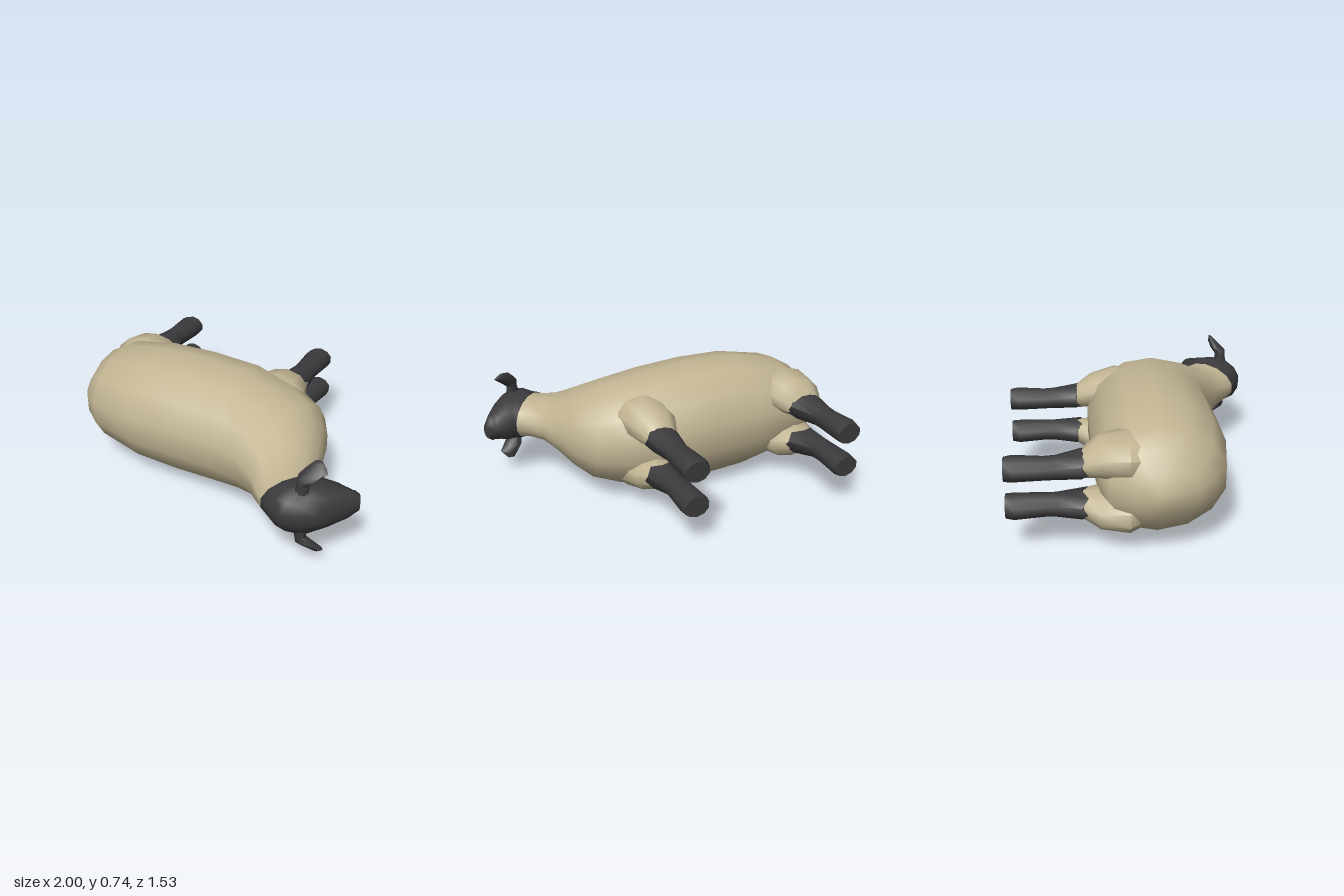
import * as THREE from 'three';
import { toCreasedNormals } from 'three/addons/utils/BufferGeometryUtils.js';

const MID = 0.372; // the animal lies on its side, so its mirror plane is y = MID
const wool = new THREE.MeshStandardMaterial({ color: 0xc2b594 });
const dark = new THREE.MeshStandardMaterial({ color: 0x3b3b3d });

// Skin a list of equal-length rings, closing both ends
function loft(name, rings, material) {
  const n = rings[0].length, points = rings.flat(), index = [];
  for (let i = 0; i < rings.length - 1; i++) {
    for (let j = 0; j < n; j++) {
      const a = i * n + j, b = i * n + (j + 1) % n;
      index.push(a, b, b + n, a, b + n, a + n);
    }
  }
  const centre = (ring) => ring.reduce((c, p) => c.add(p), new THREE.Vector3()).divideScalar(n);
  const first = points.length, last = first + 1, end = (rings.length - 1) * n;
  const all = [...points, centre(rings[0]), centre(rings[rings.length - 1])];
  for (let j = 0; j < n; j++) {
    const k = (j + 1) % n;
    index.push(first, k, j, last, end + j, end + k);
  }
  const geometry = new THREE.BufferGeometry().setFromPoints(all);
  geometry.setIndex(index);
  const mesh = new THREE.Mesh(toCreasedNormals(geometry, 0.95), material);
  mesh.name = name;
  return mesh;
}

const ring = (n, f) => Array.from({ length: n }, (_, j) => {
  const a = (j / n) * Math.PI * 2;
  return f(Math.cos(a), Math.sin(a), j);
});

// Slice of body or head: back point, belly point, half width, height of widest spot
const slice = ([xTop, zTop, xLow, zLow, w, k = 0.46]) => ring(14, (c, s) => {
  const t = s > 0 ? k + (1 - k) * s : k + k * s;
  return new THREE.Vector3(xLow + (xTop - xLow) * t, MID + w * c, zLow + (zTop - zLow) * t);
});

// Slice of a leg: height z, centre x, sideways offset, radii, jagged edge
const legSlice = (side) => ([z, x, off, rx, ry, jag = 0]) => ring(10, (c, s, j) =>
  new THREE.Vector3(x + rx * s, MID + side * off + ry * c, z + (j % 2 ? jag : -jag)));

// Slice of an ear: sideways offset, centre x and z, radii
const earSlice = (side) => ([off, x, z, rx, rz]) => ring(8, (c, s) =>
  new THREE.Vector3(x + rx * s * side, MID + side * off - side * 0.25 * rz * c, z + rz * c));

export function createModel() {
  const model = new THREE.Group();
  model.name = 'sheep';

  // Woolly body from rump to neck
  model.add(loft('body', [
    [-1.0, 0.10, -1.0, 0.0, 0.04],
    [-0.95, 0.24, -0.96, -0.12, 0.13],
    [-0.88, 0.33, -0.9, -0.23, 0.23],
    [-0.77, 0.41, -0.78, -0.28, 0.3],
    [-0.48, 0.46, -0.5, -0.3, 0.36],
    [-0.2, 0.462, -0.2, -0.305, 0.371],
    [0.08, 0.463, 0.1, -0.308, 0.355],
    [0.24, 0.49, 0.36, -0.25, 0.31],
    [0.36, 0.55, 0.52, -0.16, 0.26, 0.42],
    [0.43, 0.6, 0.6, -0.02, 0.2, 0.4],
    [0.47, 0.64, 0.645, 0.13, 0.155, 0.4],
    [0.5, 0.665, 0.69, 0.27, 0.13],
    [0.52, 0.68, 0.76, 0.36, 0.122],
    [0.545, 0.695, 0.82, 0.4, 0.125],
  ].map(slice), wool));

  // Head from back of the skull to the nose
  model.add(loft('head', [
    [0.535, 0.692, 0.815, 0.395, 0.127],
    [0.62, 0.745, 0.86, 0.39, 0.143, 0.6],
    [0.69, 0.765, 0.89, 0.386, 0.142, 0.6],
    [0.78, 0.737, 0.91, 0.386, 0.125, 0.6],
    [0.86, 0.68, 0.935, 0.39, 0.1],
    [0.89, 0.635, 0.95, 0.393, 0.09],
    [0.95, 0.535, 0.962, 0.397, 0.08],
    [1.0, 0.45, 0.972, 0.403, 0.05],
  ].map(slice), dark));

  for (const side of [1, -1]) {
    // Ears
    model.add(loft('ear', [
      [0.1, 0.75, 0.64, 0.045, 0.045],
      [0.17, 0.752, 0.638, 0.032, 0.034],
      [0.21, 0.775, 0.625, 0.055, 0.05],
      [0.245, 0.808, 0.6, 0.062, 0.035],
      [0.285, 0.81, 0.578, 0.025, 0.012],
    ].map(earSlice(side)), dark));

    // Thighs, shoulders and lower legs
    const at = legSlice(side);
    model.add(loft('thigh', [
      [0.06, -0.74, 0.12, 0.12, 0.09],
      [-0.12, -0.755, 0.15, 0.195, 0.13],
      [-0.27, -0.755, 0.15, 0.165, 0.105],
      [-0.36, -0.77, 0.118, 0.11, 0.07],
    ].map(at), wool));
    model.add(loft('shoulder', [
      [0.06, 0.2, 0.15, 0.12, 0.1],
      [-0.12, 0.21, 0.165, 0.18, 0.125],
      [-0.27, 0.205, 0.15, 0.135, 0.1],
      [-0.36, 0.197, 0.118, 0.09, 0.07],
    ].map(at), wool));
    for (const [name, x, spread] of [['hindLeg', -0.79, 0.035], ['frontLeg', 0.197, 0.015]]) {
      model.add(loft(name, [
        [-0.35, x + spread * 0.6, 0.117, 0.085 + spread, 0.075, 0.018],
        [-0.5, x, 0.107, 0.073, 0.063],
        [-0.56, x, 0.105, 0.074, 0.061],
        [-0.72, x + 0.002, 0.109, 0.084, 0.068],
        [-0.765, x + 0.004, 0.106, 0.076, 0.062],
      ].map(at), dark));
    }
  }
  return model;
}
